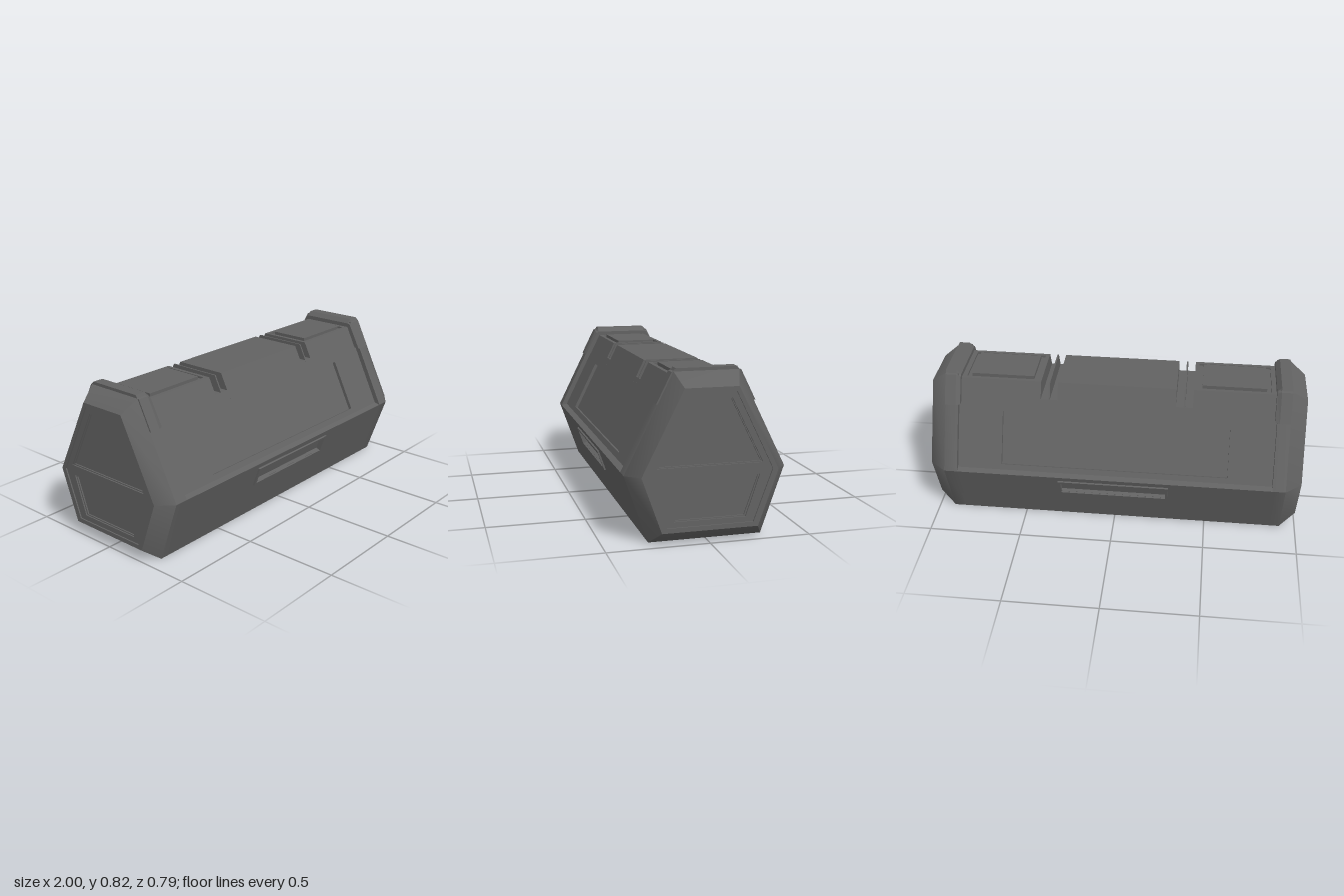
import * as THREE from 'three';
import { toCreasedNormals } from 'three/addons/utils/BufferGeometryUtils.js';

const material = new THREE.MeshStandardMaterial({ color: 0x626262 });

function mesh(name, geometry) {
  const m = new THREE.Mesh(geometry, material);
  m.name = name;
  return m;
}

// Points are [z, y] on the +z half, listed from bottom to top; this closes the outline.
function mirrored(half) {
  return [...half].reverse().concat(half.map(([z, y]) => [-z, y]));
}

// Joins equal-sized outlines placed at given x positions.
function loft(rings, capStart, capEnd) {
  const pos = [];
  const rows = rings.map(([x, pts]) => pts.map(([z, y]) => [x, y, z]));
  const n = rows[0].length;
  for (let r = 0; r + 1 < rows.length; r++) {
    const a = rows[r], b = rows[r + 1];
    for (let i = 0; i < n; i++) {
      const j = (i + 1) % n;
      pos.push(...a[i], ...a[j], ...b[j], ...a[i], ...b[j], ...b[i]);
    }
  }
  const last = rows[rows.length - 1];
  for (let i = 1; i + 1 < n; i++) {
    if (capStart) pos.push(...rows[0][0], ...rows[0][i + 1], ...rows[0][i]);
    if (capEnd) pos.push(...last[0], ...last[i], ...last[i + 1]);
  }
  const g = new THREE.BufferGeometry();
  g.setAttribute('position', new THREE.Float32BufferAttribute(pos, 3));
  g.computeVertexNormals();
  return g;
}

const toShape = (pts) => new THREE.Shape(pts.map(([z, y]) => new THREE.Vector2(-z, y)));

// Extrudes a cross-section from x0 to x1.
function slice(pts, x0, x1) {
  return new THREE.ExtrudeGeometry(toShape(pts), { depth: x1 - x0, bevelEnabled: false })
    .rotateY(Math.PI / 2).translate(x0, 0, 0);
}

// Four corners of a recess cut into the sloping side from p to q.
function notch(p, q, t0, t1, depth) {
  const dz = q[0] - p[0], dy = q[1] - p[1], len = Math.hypot(dz, dy);
  const at = (t, d) => [p[0] + dz * t - (dy / len) * d, p[1] + dy * t + (dz / len) * d];
  return [at(t0, 0), at(t0, depth), at(t1, depth), at(t1, 0)];
}

const BASE = [[0.28, 0], [0.395, 0.33]];
const LID = [[0.362, 0.338], [0.145, 0.775]];

// The base ends in a narrow ledge that meets the lid
function baseProfile(recess) {
  return mirrored([BASE[0], ...(recess ? notch(...BASE, 0.635, 0.88, 0.018) : []), BASE[1], LID[0]]);
}

function lidProfile(top, recess) {
  const half = [LID[0]];
  if (recess) half.push(...notch(...LID, 0.06, 0.655, 0.018));
  if (top === 'slot') half.push([0.187, 0.69]);
  else half.push(LID[1]);
  if (top === 'pocket') half.push([0.125, 0.775], [0.125, 0.764]);
  return mirrored(half);
}

function buildBody() {
  const body = new THREE.Group();
  body.name = 'body';
  // Lower hull with a handle recess in the middle
  body.add(mesh('baseMiddle', slice(baseProfile(true), -0.283, 0.283)));
  // Lid slices: start, end, top kind, side recess
  const slices = [
    [0.315, 0.356, 'slot', true], [0.356, 0.364, 'flat', true], [0.364, 0.405, 'slot', true],
    [0.405, 0.425, 'flat', true], [0.425, 0.607, 'pocket', true],
    [0.607, 0.81, 'pocket', false], [0.81, 0.86, 'flat', false],
  ];
  body.add(mesh('lidMiddle', slice(lidProfile('flat', true), -0.315, 0.315)));
  for (const s of [1, -1]) {
    const span = (a, b) => (s > 0 ? [a, b] : [-b, -a]);
    body.add(mesh('baseSide', slice(baseProfile(false), ...span(0.283, 0.86))));
    for (const [a, b, top, recess] of slices) {
      body.add(mesh('lidSection', slice(lidProfile(top, recess), ...span(a, b))));
    }
    // Raised plate inside the top pocket
    const plate = mesh('topPlate', new THREE.BoxGeometry(0.337, 0.03, 0.216));
    plate.position.set(s * 0.6175, 0.768, 0);
    body.add(plate);
  }
  return body;
}

// Thin raised frame around the handle recess
function buildHandleFrame() {
  const rect = (Type, w, h) => new Type([[-w, -h], [w, -h], [w, h], [-w, h]]
    .map(([x, y]) => new THREE.Vector2(x, y)));
  const shape = rect(THREE.Shape, 0.297, 0.056);
  shape.holes.push(rect(THREE.Path, 0.283, 0.043));
  const frame = mesh('handleFrame',
    new THREE.ExtrudeGeometry(shape, { depth: 0.011, bevelEnabled: false }));
  frame.position.set(0, 0.25, 0.365);
  frame.rotation.x = Math.atan2(0.115, 0.33);
  const side = new THREE.Group();
  side.name = 'handle';
  side.add(frame);
  return side;
}

function buildEndCap() {
  const cap = new THREE.Group();
  cap.name = 'endCap';
  const outer = mirrored([[0.28, 0], [0.395, 0.33], [0.159, 0.805]]);
  const face = mirrored([[0.235, 0.065], [0.332, 0.338], [0.13, 0.74]]);
  const inner = mirrored([[0.212, 0.088], [0.305, 0.342], [0.12, 0.717]]);
  // Softly shaded chamfered shell with a shallow step in its end
  const shell = loft(
    [[0.845, outer], [0.915, outer], [1, face], [1, inner], [0.993, inner]], true, false);
  cap.add(mesh('capShell', toCreasedNormals(shell, THREE.MathUtils.degToRad(42))));

  // End face with two sunken panels, each stepped twice
  const panels = [
    [[[0.257, 0.373], [0.1, 0.687]], [[0.247, 0.379], [0.097, 0.682]]],
    [[[0.175, 0.115], [0.243, 0.319]], [[0.168, 0.121], [0.235, 0.313]]],
  ];
  const faceShape = toShape(inner);
  for (const halves of panels) {
    const [rim, floor] = halves.map(mirrored);
    faceShape.holes.push(new THREE.Path(toShape(rim).getPoints()));
    cap.add(mesh('endPanel', loft(
      [[0.993, rim], [0.986, rim], [0.986, floor], [0.979, floor]], false, true)));
  }
  cap.add(mesh('endFace',
    new THREE.ShapeGeometry(faceShape).rotateY(Math.PI / 2).translate(0.993, 0, 0)));

  // Raised band gripping the top of the cap
  const low = mirrored([[0.232, 0.657], [0.162, 0.79], [0.152, 0.795], [0.143, 0.797]]);
  const high = mirrored([[0.241, 0.657], [0.168, 0.803], [0.157, 0.806], [0.148, 0.82]]);
  cap.add(mesh('topBand', loft([[0.835, low], [0.858, high], [0.915, high]], true, true)));
  return cap;
}

export function createModel() {
  const model = new THREE.Group();
  model.name = 'container';
  model.add(buildBody());
  for (const turn of [0, Math.PI]) {
    for (const part of [buildEndCap(), buildHandleFrame()]) {
      part.rotation.y = turn;
      model.add(part);
    }
  }
  return model;
}
